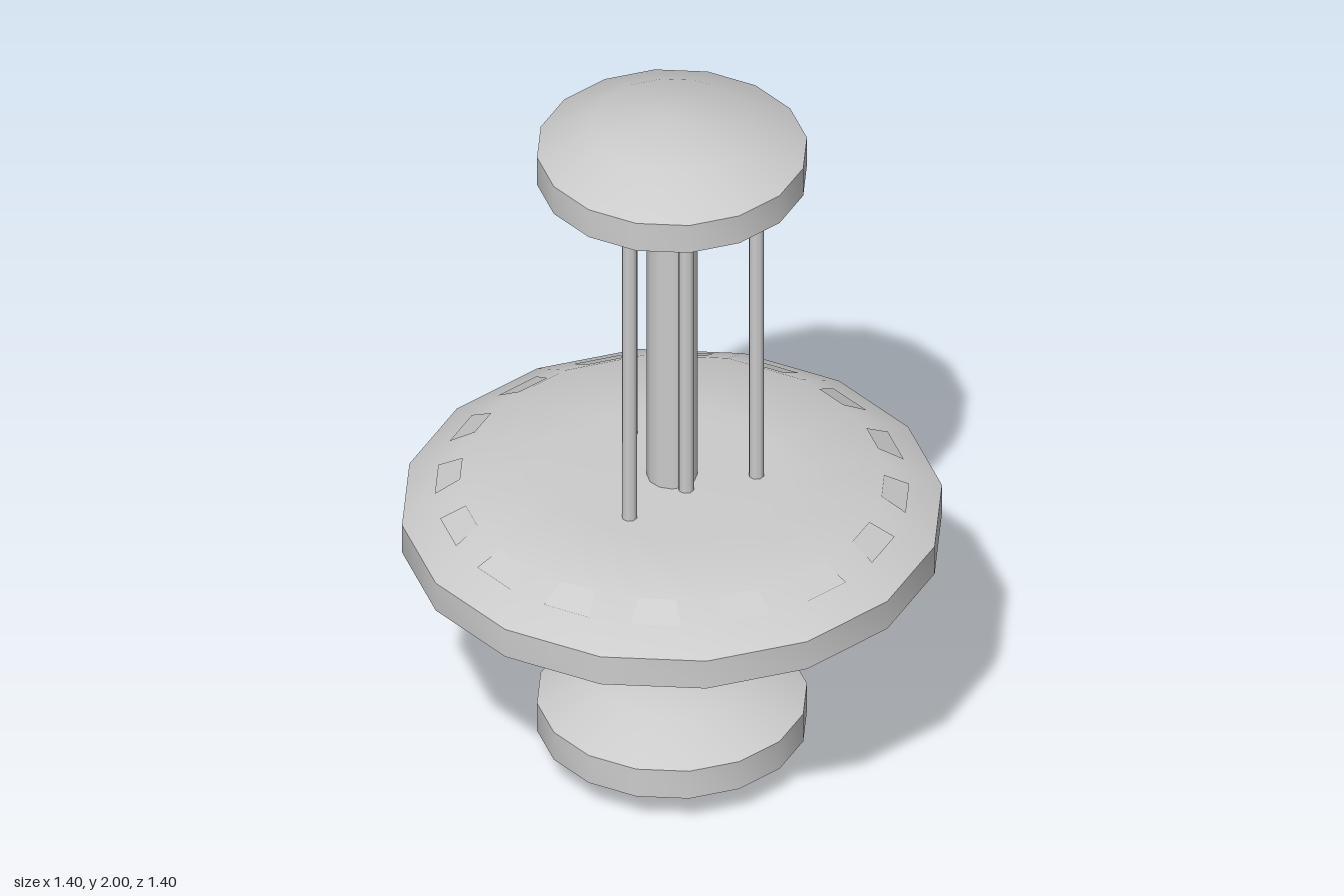
import * as THREE from 'three';
import { toCreasedNormals } from 'three/addons/utils/BufferGeometryUtils.js';

const SIDES = 16;
const material = new THREE.MeshStandardMaterial({ color: 0xcccccc });

function addMesh(parent, name, geometry, x = 0, y = 0, z = 0) {
  const mesh = new THREE.Mesh(geometry, material);
  mesh.name = name;
  mesh.position.set(x, y, z);
  parent.add(mesh);
  return mesh;
}

// Faceted disc that is soft across its faces and sharp at the rim
function discGeometry(profile) {
  const points = profile.map(([r, y]) => new THREE.Vector2(r, y));
  return toCreasedNormals(new THREE.LatheGeometry(points, SIDES), Math.PI / 4);
}

function addRod(parent, name, radius, sides, bottom, top, x = 0, z = 0) {
  const geometry = new THREE.CylinderGeometry(radius, radius, top - bottom, sides);
  addMesh(parent, name, geometry, x, (bottom + top) / 2, z);
}

// Flat trapezoid pane lying on the disc's upper bevel, facing +z
function windowGeometry() {
  const lift = 0.003;
  const outer = [0.065, 0.091 + lift, 0.604 + lift];
  const inner = [0.048, 0.128 + lift, 0.54 + lift];
  const corners = [
    [-outer[0], outer[1], outer[2]], [outer[0], outer[1], outer[2]],
    [inner[0], inner[1], inner[2]], [-inner[0], inner[1], inner[2]],
  ];
  const geometry = new THREE.BufferGeometry();
  geometry.setAttribute('position', new THREE.Float32BufferAttribute(corners.flat(), 3));
  geometry.setIndex([0, 1, 2, 0, 2, 3]);
  geometry.computeVertexNormals();
  return geometry;
}

export function createModel() {
  const model = new THREE.Group();
  model.name = 'spaceStation';

  // Small discs at both ends of the spine
  const pod = discGeometry([
    [0, -0.14], [0.21, -0.112], [0.35, -0.043],
    [0.35, 0.043], [0.21, 0.112], [0, 0.14],
  ]);
  addMesh(model, 'lowerPod', pod, 0, 0.14, 0);
  addMesh(model, 'upperPod', pod, 0, 1.86, 0);

  // Wide habitat disc, with a ring of windows above and below
  const habitat = new THREE.Group();
  habitat.name = 'habitat';
  habitat.position.y = 0.733;
  model.add(habitat);
  addMesh(habitat, 'habitatDisc', discGeometry([
    [0, -0.14], [0.3, -0.138], [0.55, -0.13], [0.7, -0.043],
    [0.7, 0.043], [0.55, 0.13], [0.3, 0.138], [0, 0.14],
  ]));
  const pane = windowGeometry();
  for (const [name, flip] of [['upperWindows', 0], ['lowerWindows', Math.PI]]) {
    const ring = new THREE.Group();
    ring.name = name;
    ring.rotation.x = flip;
    habitat.add(ring);
    for (let i = 0; i < SIDES; i++) {
      addMesh(ring, 'window', pane).rotation.y = ((i + 0.5) / SIDES) * Math.PI * 2;
    }
  }

  // Central spine with a conduit along its front
  addRod(model, 'spine', 0.065, 12, 0.2, 1.8);
  addRod(model, 'conduit', 0.021, 8, 0.2, 1.8, 0, 0.073);

  // Three struts between the habitat and the upper pod
  for (let i = 0; i < 3; i++) {
    const angle = Math.PI + (i * Math.PI * 2) / 3;
    addRod(model, 'strut', 0.02, 8, 0.8, 1.765, 0.217 * Math.sin(angle), 0.217 * Math.cos(angle));
  }

  return model;
}
